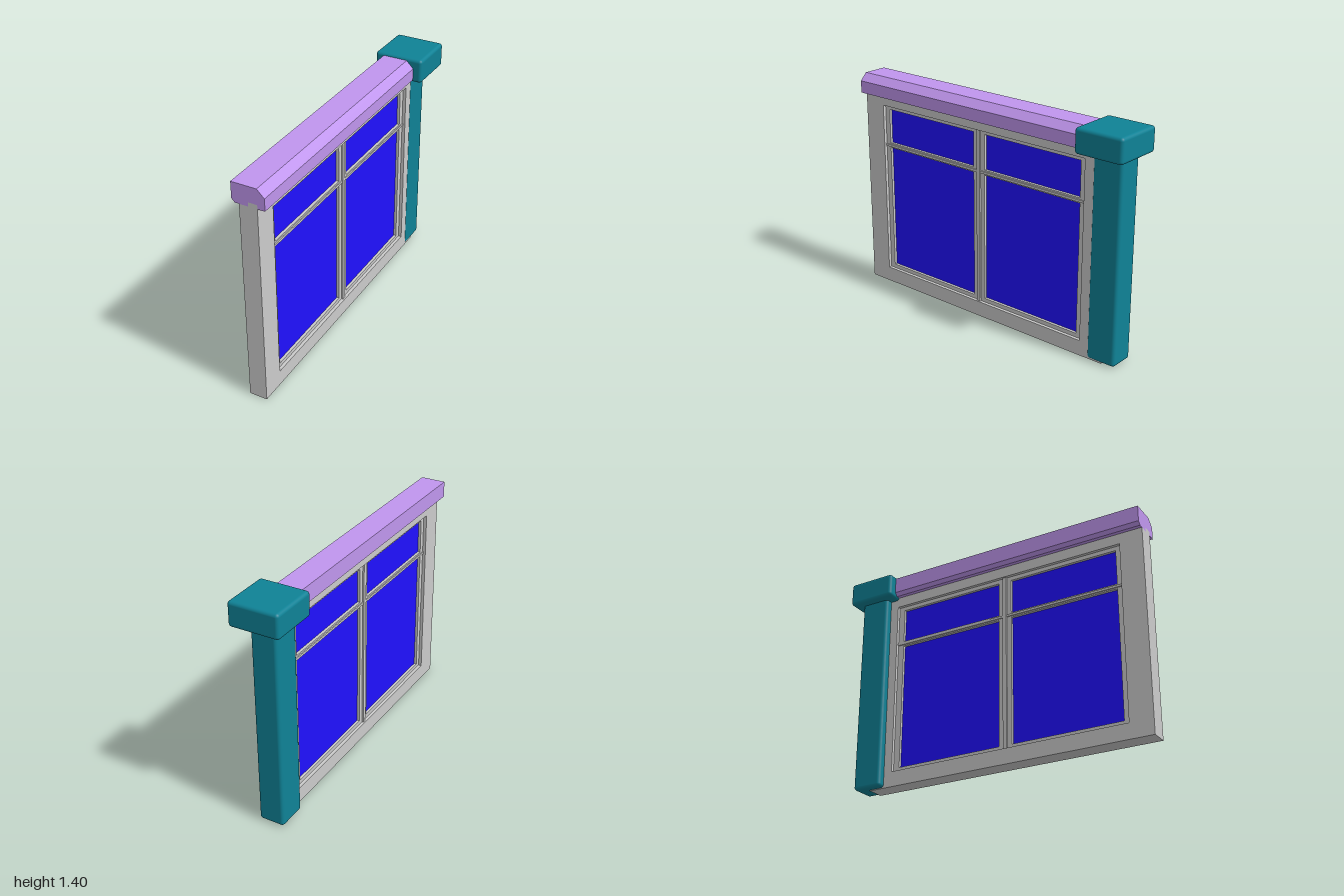
import * as THREE from 'three';
import { RoundedBoxGeometry } from 'three/addons/geometries/RoundedBoxGeometry.js';

const material = (color) => new THREE.MeshStandardMaterial({ color });

// Rectangle outline from [x0, x1, y0, y1]
function rect([x0, x1, y0, y1], Type = THREE.Shape) {
  return new Type([[x0, y0], [x1, y0], [x1, y1], [x0, y1]].map(([x, y]) => new THREE.Vector2(x, y)));
}

// Panel drawn in the (z, y) plane with rectangular holes, centred on x = 0
function panel(outline, holes, thickness) {
  const shape = rect(outline);
  holes.forEach((h) => shape.holes.push(rect(h, THREE.Path)));
  return new THREE.ExtrudeGeometry(shape, { depth: thickness, bevelEnabled: false })
    .translate(0, 0, -thickness / 2)
    .rotateY(-Math.PI / 2);
}

// Box from its limits on each axis, with optional rounded edges
function block([x0, x1], [y0, y1], [z0, z1], radius = 0) {
  const size = [x1 - x0, y1 - y0, z1 - z0];
  const geometry = radius ? new RoundedBoxGeometry(...size, 4, radius) : new THREE.BoxGeometry(...size);
  return geometry.translate((x0 + x1) / 2, (y0 + y1) / 2, (z0 + z1) / 2);
}

export function createModel() {
  const model = new THREE.Group();
  const grey = material(0xcccccc);
  const teal = material(0x0f8296);
  const purple = material(0xc096ee);
  const blue = material(0x2010ff);

  function add(name, geometry, mat, parent = model) {
    const mesh = new THREE.Mesh(geometry, mat);
    mesh.name = name;
    parent.add(mesh);
  }

  // Wall with window opening, and the tongue that sits in the coping
  const opening = [-0.695, 0.855, 0.095, 1.2];
  add('wall', panel([-0.85, 1, 0, 1.265], [opening], 0.11), grey);
  add('wallTongue', block([0, 0.055], [1.265, 1.29], [-0.85, 1]), grey);

  // Window: frame with four lights, raised bars and glass
  const win = new THREE.Group();
  win.name = 'window';
  model.add(win);
  const lights = [];
  for (const [z0, z1] of [[-0.655, 0.04], [0.125, 0.82]]) {
    for (const [y0, y1] of [[0.12, 0.925], [0.957, 1.175]]) lights.push([z0, z1, y0, y1]);
  }
  add('windowFrame', panel(opening, lights, 0.07), grey, win);
  add('centrePost', block([-0.045, 0.045], [0.095, 1.2], [0.07, 0.095]), grey, win);
  add('transom', block([-0.042, 0.042], [0.933, 0.947], [-0.695, 0.855]), grey, win);
  for (const [z0, z1, y0, y1] of lights) add('glass', block([-0.018, 0.018], [y0, y1], [z0, z1]), blue, win);

  // Chamfered coping along the top of the wall
  const profile = [
    [-0.08, 1.265], [0, 1.265], [0, 1.29], [0.055, 1.29], [0.055, 1.265], [0.1, 1.265],
    [0.1, 1.34], [0.055, 1.385], [-0.1, 1.385], [-0.1, 1.285],
  ].map(([x, y]) => new THREE.Vector2(x, y));
  const coping = new THREE.ExtrudeGeometry(new THREE.Shape(profile), { depth: 1.75, bevelEnabled: false });
  add('coping', coping.translate(0, 0, -0.75), purple);

  // Corner pillar with its capital
  add('pillar', block([-0.1, 0.06], [0.005, 1.27], [-0.94, -0.75], 0.02), teal);
  add('pillarCap', block([-0.155, 0.155], [1.25, 1.4], [-1, -0.69], 0.02), teal);

  return model;
}
